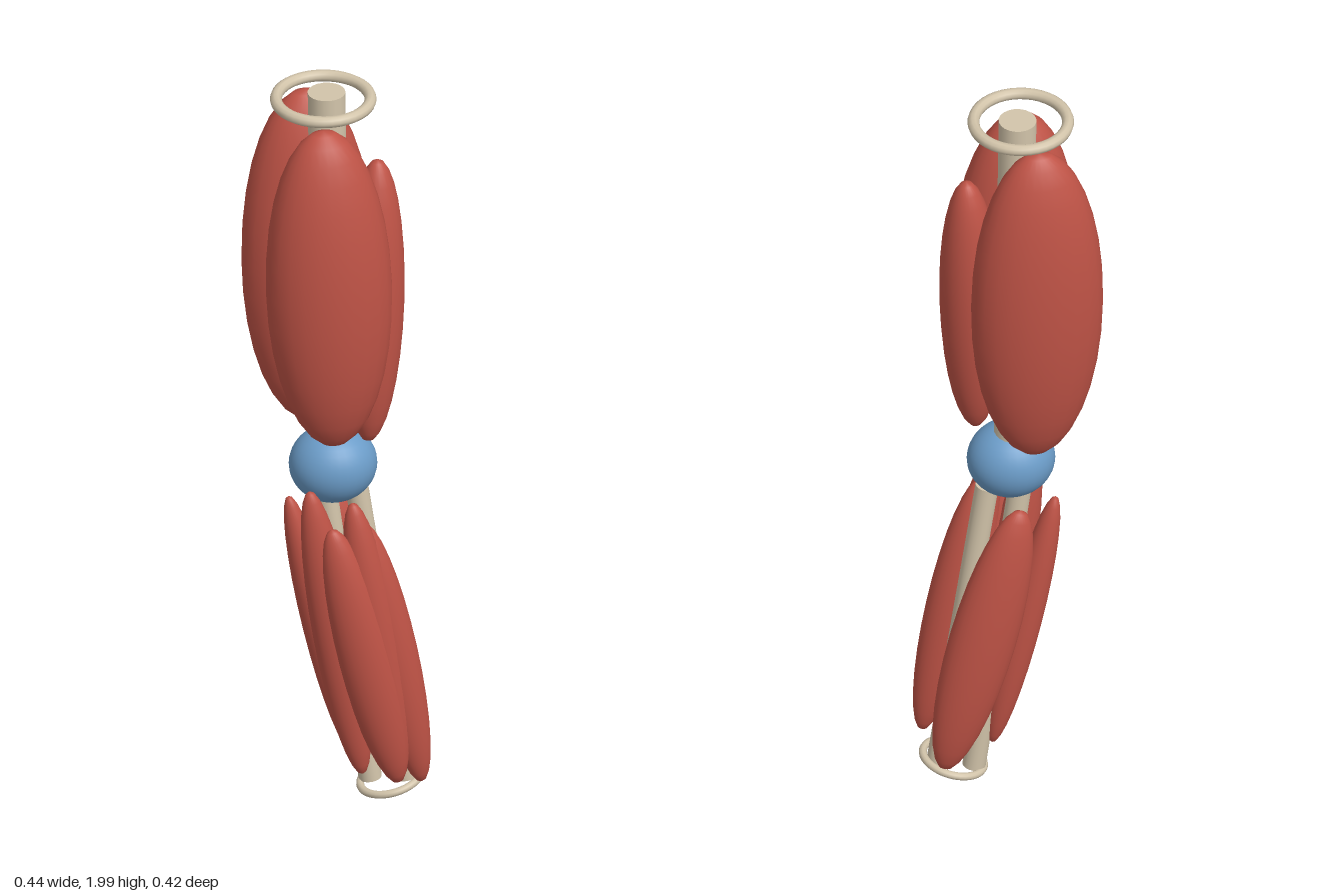
import * as THREE from 'three';

const mat = (name, color) => {
  const m = new THREE.MeshStandardMaterial({ color });
  m.name = name;
  return m;
};

export function createModel() {
  const muscleRed = mat('muscle red', 0xbf5346);
  const boneCream = mat('bone cream', 0xd2c4aa);
  const jointBlue = mat('joint blue', 0x6b9cc8);

  const model = new THREE.Group();
  model.name = 'jointedArm';
  const UP = new THREE.Vector3(0, 1, 0);

  // Places a y-aligned mesh so that its axis runs from bottom to top
  const add = (name, geometry, material, top, bottom) => {
    const a = new THREE.Vector3(...top), b = new THREE.Vector3(...bottom);
    const mesh = new THREE.Mesh(geometry, material);
    mesh.name = name;
    mesh.position.copy(a).add(b).multiplyScalar(0.5);
    mesh.quaternion.setFromUnitVectors(UP, a.sub(b).normalize());
    model.add(mesh);
    return mesh;
  };
  const dist = (a, b) => new THREE.Vector3(...a).distanceTo(new THREE.Vector3(...b));

  // Spindle-shaped muscle: an ellipsoid stretched between its two tips
  const muscle = (name, top, bottom, rx, rz) => {
    const g = new THREE.SphereGeometry(1, 24, 16).scale(rx, dist(top, bottom) / 2, rz);
    add(name, g, muscleRed, top, bottom);
  };
  const bone = (name, top, bottom, r) =>
    add(name, new THREE.CylinderGeometry(r, r, dist(top, bottom), 20), boneCream, top, bottom);
  const ring = (name, centre, r, tube, tilt) => {
    const g = new THREE.TorusGeometry(r, tube, 10, 40).rotateX(Math.PI / 2);
    const m = new THREE.Mesh(g, boneCream);
    m.name = name;
    m.position.set(...centre);
    m.rotation.z = tilt;
    model.add(m);
  };

  // Bones
  bone('upperBone', [-0.024, 1.995, -0.013], [-0.012, 0.97, -0.008], 0.047);
  bone('outerForearmBone', [0.05, 0.87, 0], [0.172, 0.04, 0.003], 0.029);
  bone('innerForearmBone', [-0.03, 0.9, -0.03], [0.088, 0.03, -0.025], 0.029);

  // Shoulder and wrist rings
  ring('shoulderRing', [-0.034, 1.982, -0.003], 0.117, 0.015, 0);
  ring('wristRing', [0.135, 0.038, 0], 0.078, 0.01, 0.25);

  // Elbow ball
  const elbow = new THREE.Mesh(new THREE.SphereGeometry(1, 32, 20).scale(0.11, 0.1, 0.1), jointBlue);
  elbow.name = 'elbowJoint';
  elbow.position.set(-0.01, 0.947, 0);
  model.add(elbow);

  // Upper arm muscles
  muscle('upperFrontMuscle', [-0.05, 1.942, 0.085], [-0.025, 1.058, 0.105], 0.158, 0.114);
  muscle('upperBackMuscle', [-0.06, 1.957, -0.105], [-0.052, 1.026, -0.095], 0.166, 0.108);
  muscle('upperSideMuscle', [0.1, 1.805, 0.012], [0.07, 1.026, 0.045], 0.078, 0.078);

  // Forearm muscles
  muscle('forearmBackMuscle', [-0.018, 0.847, -0.09], [0.175, 0.074, -0.088], 0.085, 0.058);
  muscle('forearmOuterMuscle', [0.05, 0.818, 0.092], [0.197, 0.07, 0.09], 0.062, 0.052);
  muscle('forearmFrontMuscle', [-0.035, 0.825, 0.12], [0.135, 0.085, 0.112], 0.07, 0.057);
  muscle('forearmMiddleMuscle', [0.02, 0.885, 0.1], [0.14, 0.1, 0.11], 0.058, 0.052);
  muscle('forearmInnerMuscle', [-0.085, 0.92, 0.085], [0.05, 0.1, 0.08], 0.058, 0.048);
  muscle('forearmRearInnerMuscle', [-0.115, 0.84, -0.04], [0.045, 0.1, -0.035], 0.045, 0.045);

  return model;
}
